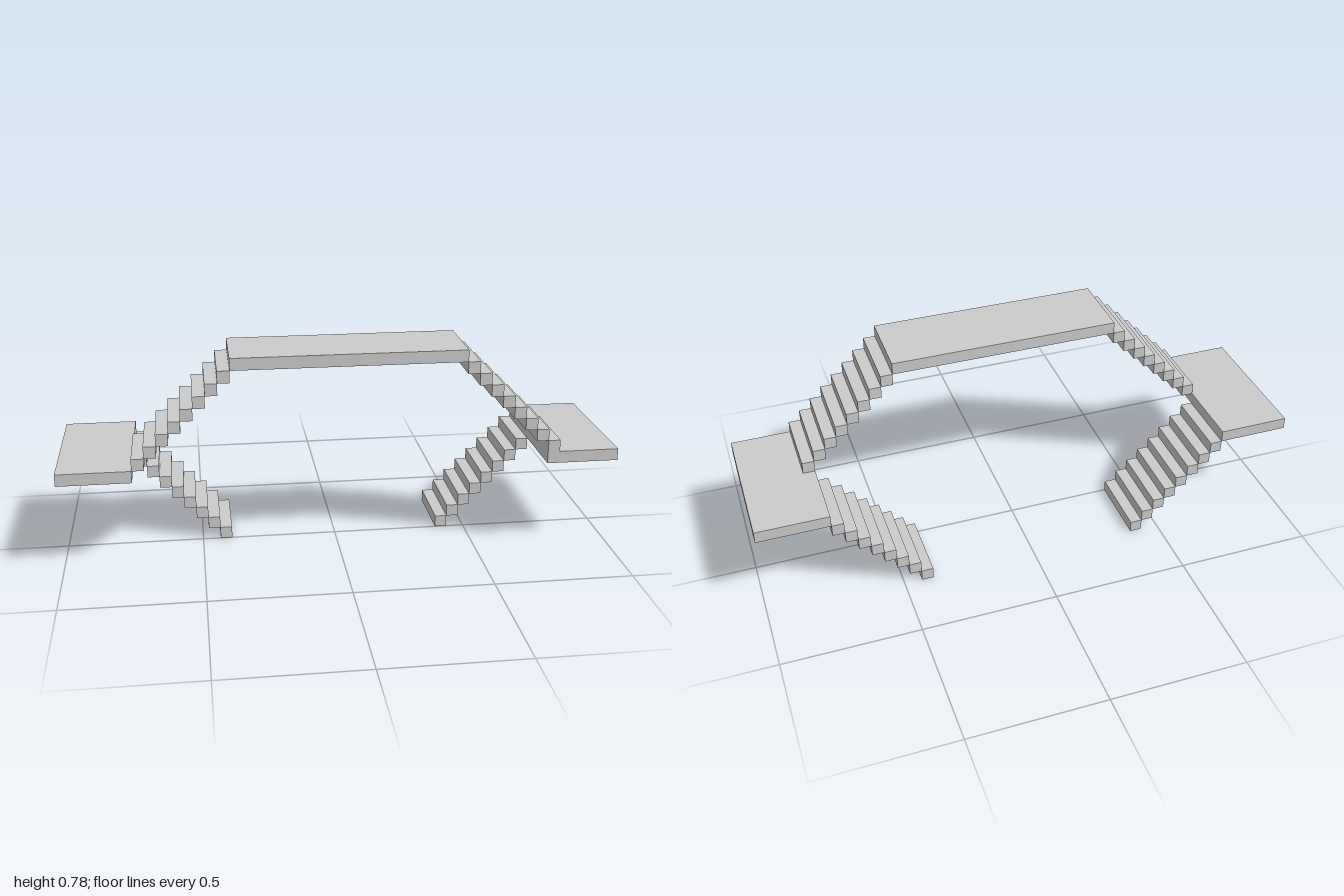
import * as THREE from 'three';

// One grid unit: the whole model is 46 units long and 18 high
const U = 2 / 46;
const STEPS = 8;
const WIDTH = 6;

export function createModel() {
  const model = new THREE.Group();
  model.name = 'doubleStaircase';
  const material = new THREE.MeshStandardMaterial({ color: 0xcccccc, flatShading: true });

  // Box given by its lowest corner and its size, in grid units
  function block(name, parent, x, y, z, w, h, d) {
    const mesh = new THREE.Mesh(new THREE.BoxGeometry(w * U, h * U, d * U), material);
    mesh.position.set((x + w / 2) * U, (y + h / 2) * U, (z + d / 2) * U);
    mesh.name = name;
    parent.add(mesh);
  }

  // Flight of square-section treads climbing from (x, y) in direction dir
  function flight(name, x, y, z, dir) {
    const group = new THREE.Group();
    group.name = name;
    for (let i = 0; i < STEPS; i++) block('tread', group, x + i * dir, y + i, z, 1, 1, WIDTH);
    model.add(group);
  }

  // Lower flights at the back climb outwards to the landings
  flight('lowerFlightLeft', 9, 0, -WIDTH, 1);
  flight('lowerFlightRight', -10, 0, -WIDTH, -1);

  // Landings span both flight widths
  block('landingLeft', model, 17, 8, -WIDTH, 6, 1, 2 * WIDTH);
  block('landingRight', model, -23, 8, -WIDTH, 6, 1, 2 * WIDTH);

  // Upper flights at the front climb inwards to the deck
  flight('upperFlightLeft', 17, 9, 0, -1);
  flight('upperFlightRight', -17, 9, 0, 1);

  // Top deck joining the upper flights
  block('topDeck', model, -9, 17, 0, 19, 1, WIDTH);

  return model;
}
